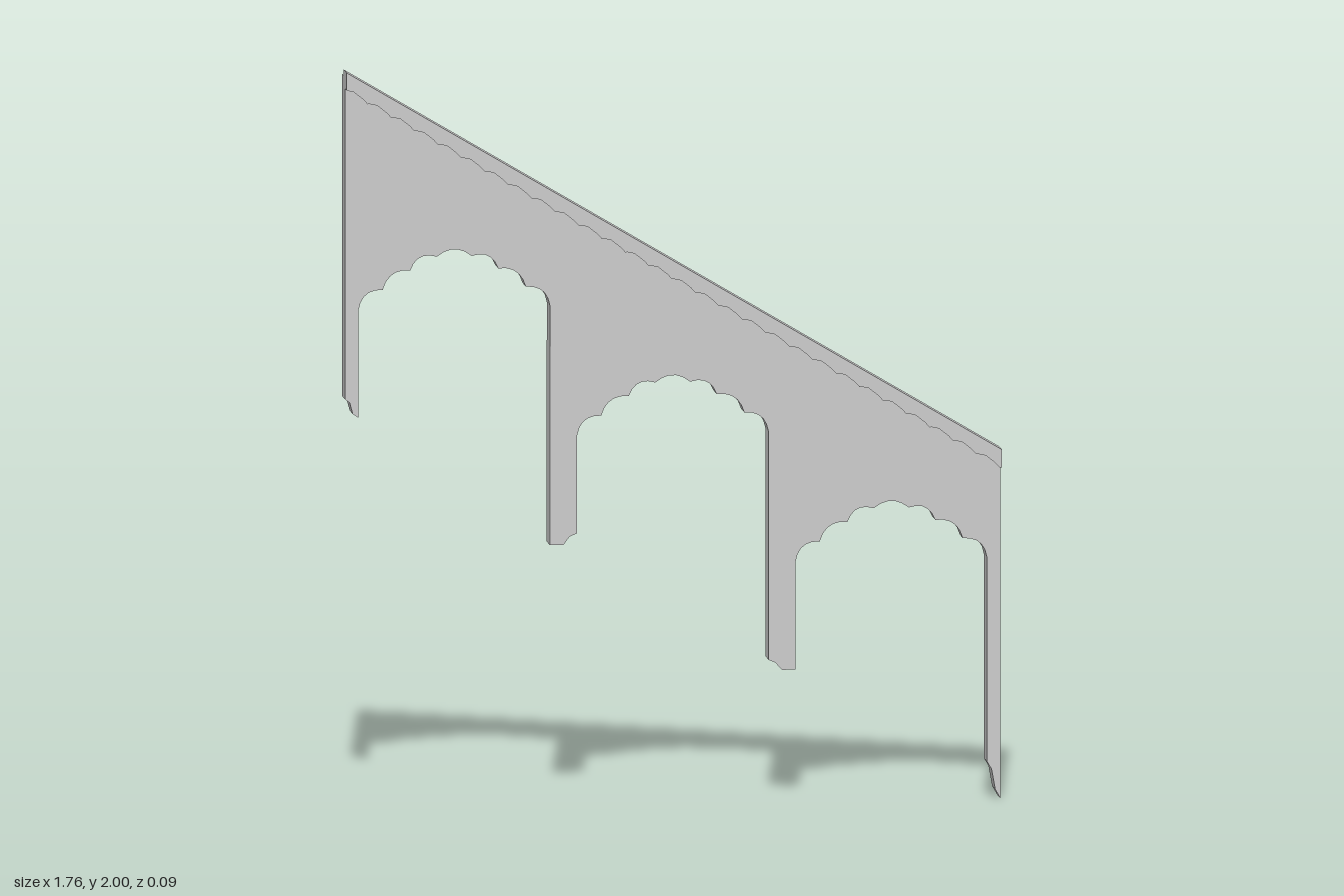
import * as THREE from 'three';

const FRONT = 0.015, BACK = -0.047;      // depth of panel and posts
const HALF = 0.88, BAY = 1.76 / 3, ARCH = 0.257, DROP = 0.352;
const railTop = (x) => 2 - (x + HALF) * 0.5994;

export function createModel() {
  const group = new THREE.Group();
  const mat = new THREE.MeshStandardMaterial({ color: 0xcccccc, side: THREE.DoubleSide, flatShading: true });
  const add = (name, geo) => {
    const mesh = new THREE.Mesh(geo, mat);
    mesh.name = name;
    group.add(mesh);
  };
  const shapeOf = (pts) => new THREE.Shape(pts.map((p) => new THREE.Vector2(p[0], p[1])));
  const extrude = (pts, z0, z1) =>
    new THREE.ExtrudeGeometry(shapeOf(pts), { depth: z1 - z0, bevelEnabled: false }).translate(0, 0, z0);

  // Ribbon running from the front plane to the back plane along a line of points
  const ribbon = (pts) => {
    const pos = [], idx = [];
    pts.forEach(([x, y], i) => {
      pos.push(x, y, FRONT, x, y, BACK);
      if (i) idx.push(2 * i - 2, 2 * i - 1, 2 * i, 2 * i, 2 * i - 1, 2 * i + 1);
    });
    const g = new THREE.BufferGeometry();
    g.setAttribute('position', new THREE.Float32BufferAttribute(pos, 3));
    g.setIndex(idx);
    g.computeVertexNormals();
    return g;
  };

  // Scalloped arch: cusps mirrored about the middle, joined by shallow arcs
  const halfCusps = [[-ARCH, 0], [-0.192, 0.053], [-0.118, 0.104], [-0.047, 0.139]];
  const cusps = [...halfCusps, ...halfCusps.map(([x, y]) => [-x, y]).reverse()];
  const archPoints = (cx, cy) => {
    const pts = [];
    cusps.slice(0, -1).forEach(([x0, y0], i) => {
      const [x1, y1] = cusps[i + 1];
      const dx = x1 - x0, dy = y1 - y0, len = Math.hypot(dx, dy);
      for (let k = 0; k < 5; k++) {
        const t = k / 5, bulge = 0.019 * 4 * t * (1 - t);
        pts.push([cx + x0 + dx * t - (dy / len) * bulge, cy + y0 + dy * t + (dx / len) * bulge]);
      }
    });
    pts.push([cx + ARCH, cy]);
    return pts;
  };

  // Uneven cut at the foot of each half post, from left to right
  const feet = [
    [[[-0.88, 1.115], [-0.867, 1.105], [-0.859, 1.075], [-0.844, 1.065]],
      [[-0.33, 0.71], [-0.2933, 0.71]]],
    [[[-0.2933, 0.71], [-0.277, 0.732], [-0.257, 0.74]],
      [[0.257, 0.388], [0.275, 0.38], [0.2933, 0.36]]],
    [[[0.2933, 0.36], [0.33, 0.36]],
      [[0.844, 0.1], [0.856, 0.08], [0.866, 0.025], [0.88, 0.005]]],
  ];
  feet[2][1][3][1] = 0;

  for (let b = 0; b < 3; b++) {
    const cx = (b - 1) * BAY, cy = 1.355 - b * DROP;
    const x0 = cx - BAY / 2, x1 = cx + BAY / 2;
    const arch = archPoints(cx, cy);

    // Front sheet of the bay, above the springing line
    const sheet = [[x0, railTop(x0) - 0.017], [x0, cy], ...arch, [x1, cy], [x1, railTop(x1) - 0.017]];
    add('archPanel', new THREE.ShapeGeometry(shapeOf(sheet)).translate(0, 0, FRONT));
    add('archSoffit', ribbon(arch));

    // Half posts on both sides
    feet[b].forEach((foot, s) => {
      const a = s ? cx + ARCH : x0, c = s ? x1 : cx - ARCH;
      add(s ? 'leftHalfPost' : 'rightHalfPost', extrude([[a, cy], ...foot, [c, cy]], BACK, FRONT));
    });
  }

  // Upright fins behind the panel at every bay line
  for (let i = 0; i < 4; i++) {
    const x = -HALF + i * BAY;
    const low = 1.355 - Math.min(i, 2) * DROP;
    add('fin', ribbon([[x, low], [x, railTop(x) - 0.017]]));
  }

  // Sloping rail with a serrated lower edge
  const rail = [[HALF, railTop(HALF)], [-HALF, railTop(-HALF)]];
  const teeth = 28, step = (2 * HALF) / teeth;
  for (let i = 0; i < teeth; i++) {
    const x = -HALF + i * step;
    [[0, 0.048], [0.3, 0.041], [0.7, 0.046], [0.9, 0.052]].forEach(([t, d]) =>
      rail.push([x + t * step, railTop(x + t * step) - d]));
  }
  rail.push([HALF, railTop(HALF) - 0.048]);
  add('slopingRail', extrude(rail, -0.01, 0.047));

  return group;
}
